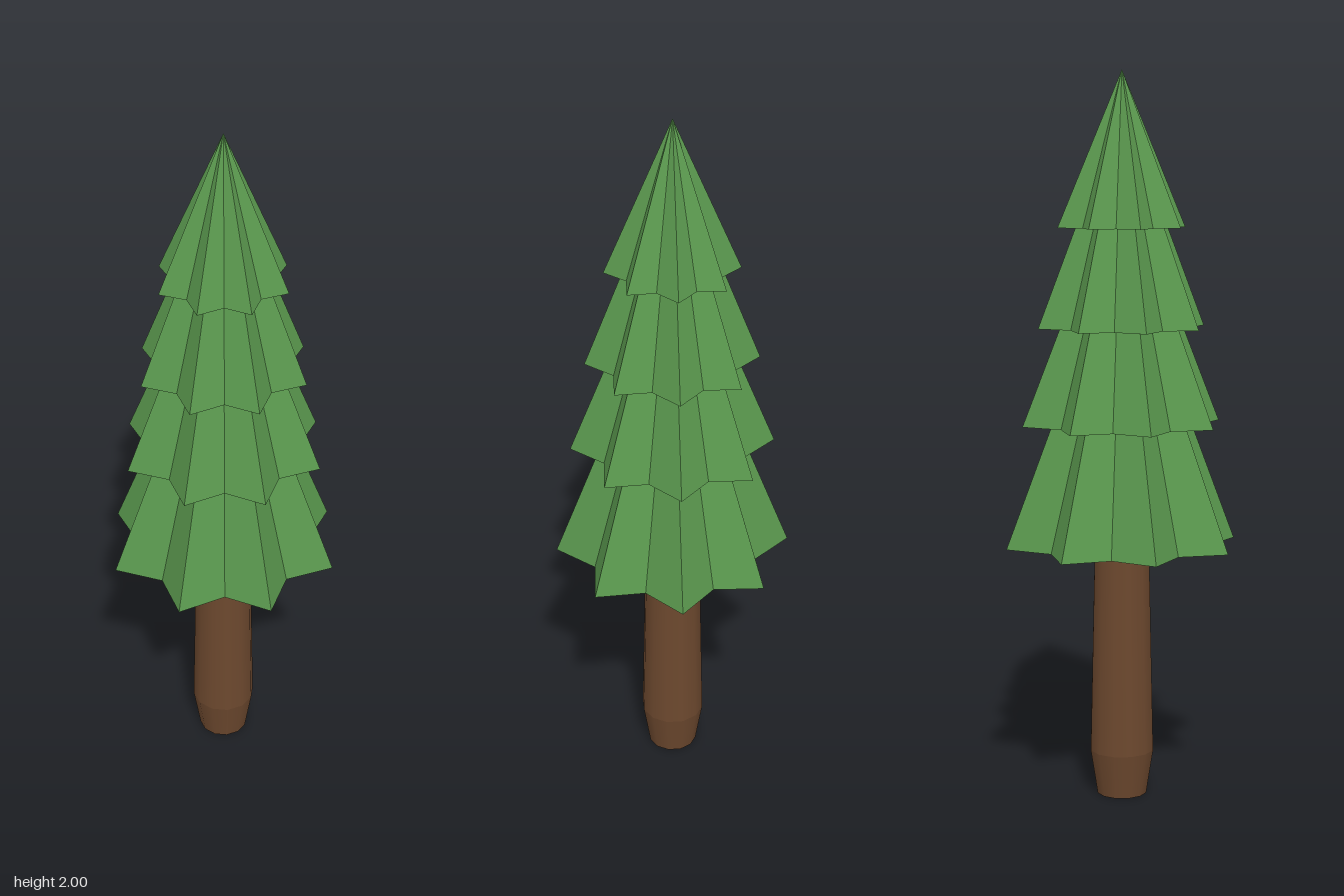
import * as THREE from 'three';

const leaf = new THREE.MeshStandardMaterial({ name: 'leafGreen', color: 0x5a984e, flatShading: true });
const bark = new THREE.MeshStandardMaterial({ name: 'barkBrown', color: 0x6c482e });

const POINTS = 8;
const VALLEY = 0.743; // valley radius relative to tip radius

// Tapered tier whose outline is an eight-pointed star, one tip facing the front
function starTier(name, y0, y1, r0, r1) {
  const geo = new THREE.CylinderGeometry(r1, r0, y1 - y0, POINTS * 2, 1).toNonIndexed();
  const pos = geo.attributes.position;
  for (let i = 0; i < pos.count; i++) {
    const x = pos.getX(i), z = pos.getZ(i);
    if (Math.hypot(x, z) < 1e-6) continue;
    const step = Math.round(Math.atan2(x, z) / (Math.PI / POINTS));
    const k = step % 2 === 0 ? 1 : VALLEY;
    pos.setX(i, x * k);
    pos.setZ(i, z * k);
  }
  geo.computeVertexNormals();
  const mesh = new THREE.Mesh(geo, leaf);
  mesh.name = name;
  mesh.position.y = (y0 + y1) / 2;
  return mesh;
}

// Smooth round trunk section
function trunkPart(name, y0, y1, r0, r1) {
  const geo = new THREE.CylinderGeometry(r1, r0, y1 - y0, 12, 1);
  const mesh = new THREE.Mesh(geo, bark);
  mesh.name = name;
  mesh.position.y = (y0 + y1) / 2;
  return mesh;
}

export function createModel() {
  const tree = new THREE.Group();
  tree.name = 'pineTree';

  // Trunk: narrow foot, then a long taper up into the foliage
  tree.add(trunkPart('trunkFoot', 0, 0.125, 0.07, 0.09));
  tree.add(trunkPart('trunk', 0.125, 0.72, 0.09, 0.077));

  // Foliage tiers from bottom to tip
  const tiers = [
    ['bottomTier', 0.71, 1.045, 0.327, 0.198],
    ['lowerTier', 1.045, 1.31, 0.28, 0.174],
    ['upperTier', 1.31, 1.58, 0.235, 0.13],
    ['topTier', 1.58, 2, 0.18, 0],
  ];
  for (const t of tiers) tree.add(starTier(...t));
  return tree;
}
